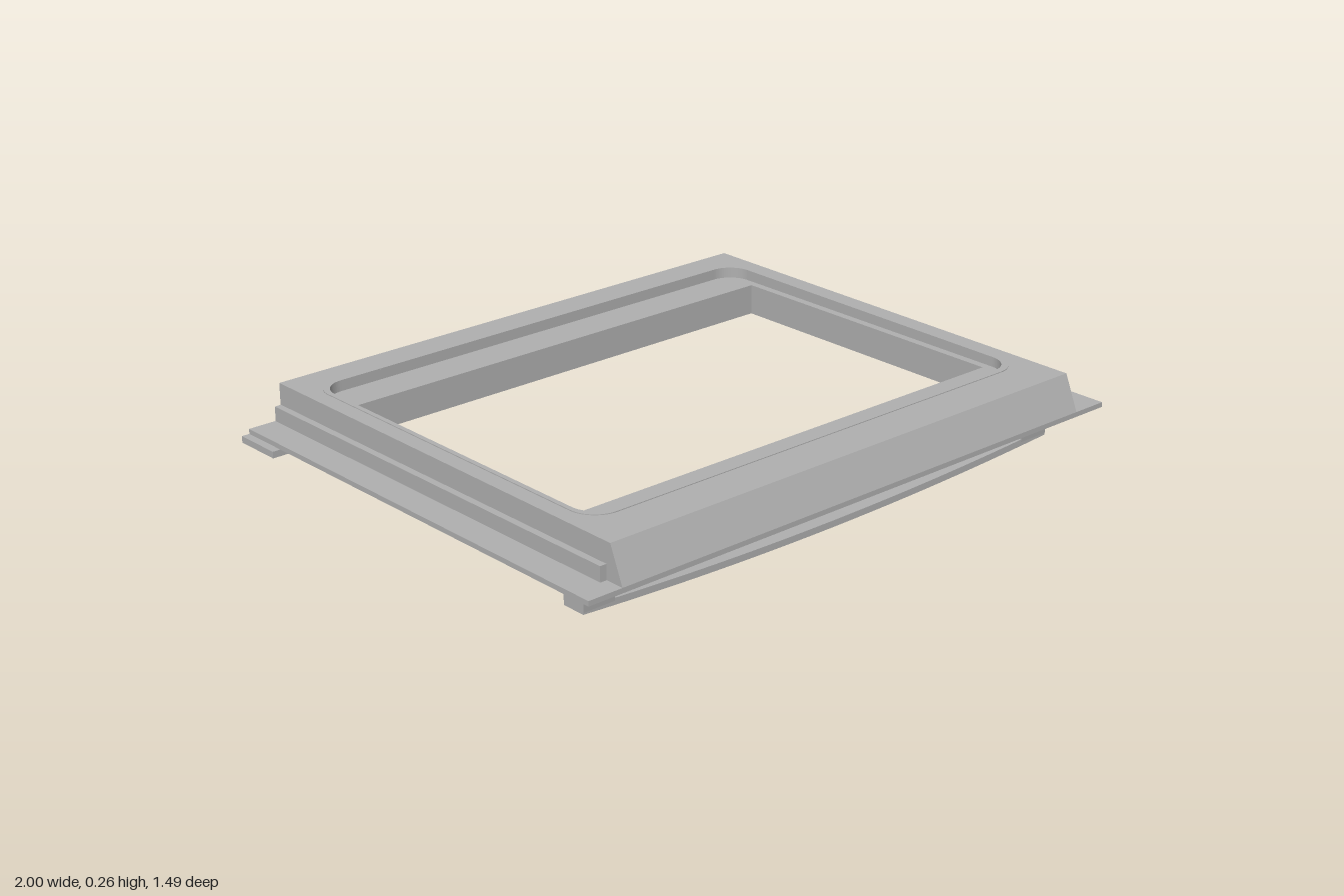
import * as THREE from 'three';

const steel = new THREE.MeshStandardMaterial({ color: 0xb0b0b0, side: THREE.DoubleSide });
steel.name = 'grey steel';

function roundedRect(target, x0, x1, z0, z1, r) {
  target.moveTo(x0 + r, z0);
  target.lineTo(x1 - r, z0);
  if (r) target.absarc(x1 - r, z0 + r, r, -Math.PI / 2, 0);
  target.lineTo(x1, z1 - r);
  if (r) target.absarc(x1 - r, z1 - r, r, 0, Math.PI / 2);
  target.lineTo(x0 + r, z1);
  if (r) target.absarc(x0 + r, z1 - r, r, Math.PI / 2, Math.PI);
  target.lineTo(x0, z0 + r);
  if (r) target.absarc(x0 + r, z0 + r, r, Math.PI, Math.PI * 1.5);
  return target;
}

export function createModel() {
  const group = new THREE.Group();

  function add(name, geometry, x = 0, y = 0, z = 0) {
    const mesh = new THREE.Mesh(geometry, steel);
    mesh.name = name;
    mesh.position.set(x, y, z);
    group.add(mesh);
    return mesh;
  }

  // Box given by its limits
  function box(name, x0, x1, y0, y1, z0, z1) {
    return add(name, new THREE.BoxGeometry(x1 - x0, y1 - y0, z1 - z0),
      (x0 + x1) / 2, (y0 + y1) / 2, (z0 + z1) / 2);
  }

  // Horizontal frame between y0 and y1; outer and inner are [x0, x1, z0, z1, radius]
  function frame(name, outer, inner, y0, y1) {
    const shape = roundedRect(new THREE.Shape(), ...outer);
    shape.holes.push(roundedRect(new THREE.Path(), ...inner));
    const geometry = new THREE.ExtrudeGeometry(shape, { depth: y1 - y0, bevelEnabled: false, curveSegments: 10 });
    geometry.rotateX(Math.PI / 2);
    return add(name, geometry, 0, y1);
  }

  // Side profile of [z, y] points extruded from x0 to x1
  function profile(name, points, x0, x1) {
    const shape = new THREE.Shape(points.map(([z, y]) => new THREE.Vector2(-z, y)));
    const geometry = new THREE.ExtrudeGeometry(shape, { depth: x1 - x0, bevelEnabled: false });
    geometry.rotateY(Math.PI / 2);
    return add(name, geometry, x0);
  }

  const window = [-0.77, 0.775, -0.52, 0.46, 0];
  const opening = [-0.80, 0.80, -0.64, 0.55, 0.075];

  // Base plate with the window cut out, and the bar under its rear edge
  frame('basePlate', [-0.975, 0.98, -0.745, 0.745, 0], window, 0.13, 0.145);
  box('rearBar', -1, 1, 0.11, 0.13, -0.745, -0.59);

  // Raised top, rising slightly toward the rear
  const top = frame('topPanel', [-0.865, 0.865, -0.745, 0.70, 0], opening, 0.244, 0.254);
  top.rotation.x = 0.003;
  const lip = frame('openingLip', [-0.815, 0.815, -0.66, 0.57, 0.085], opening, 0.222, 0.2565);
  lip.rotation.x = 0.003;

  // Recessed ledge and walls around the window
  frame('windowLedge', [-0.81, 0.81, -0.65, 0.56, 0.08], window, 0.215, 0.225);
  frame('windowWall', [-0.78, 0.785, -0.53, 0.47, 0], window, 0.145, 0.216);

  // Sloping front and body sides; the rear stays open above a low lip
  profile('frontPanel', [[0.745, 0.145], [0.70, 0.252], [0.69, 0.252], [0.735, 0.145]], -0.865, 0.865);
  for (const side of [-1, 1]) {
    const x = side * 0.86;
    profile('bodySide', [[0.742, 0.145], [0.698, 0.251], [-0.745, 0.255], [-0.745, 0.145]], x - 0.005, x + 0.005);
    box('sideRail', side * 0.875 - 0.011, side * 0.875 + 0.011, 0.145, 0.19, -0.743, 0.685);
  }
  box('rearLip', -0.865, 0.865, 0.145, 0.19, -0.743, -0.733);

  // Bowed handle on two tapered posts
  const bow = new THREE.Shape();
  bow.moveTo(-0.885, 0.03);
  bow.quadraticCurveTo(0, -0.03, 0.885, 0.03);
  bow.lineTo(0.885, 0.05);
  bow.quadraticCurveTo(0, -0.01, -0.885, 0.05);
  add('handleBar', new THREE.ExtrudeGeometry(bow, { depth: 0.076, bevelEnabled: false, curveSegments: 24 }), 0, 0, 0.54);
  for (const x of [-0.885, 0.78]) {
    profile('handlePost', [[0.616, 0.035], [0.622, 0.115], [0.535, 0.115], [0.54, 0.035]], x, x + 0.105);
  }

  return group;
}
